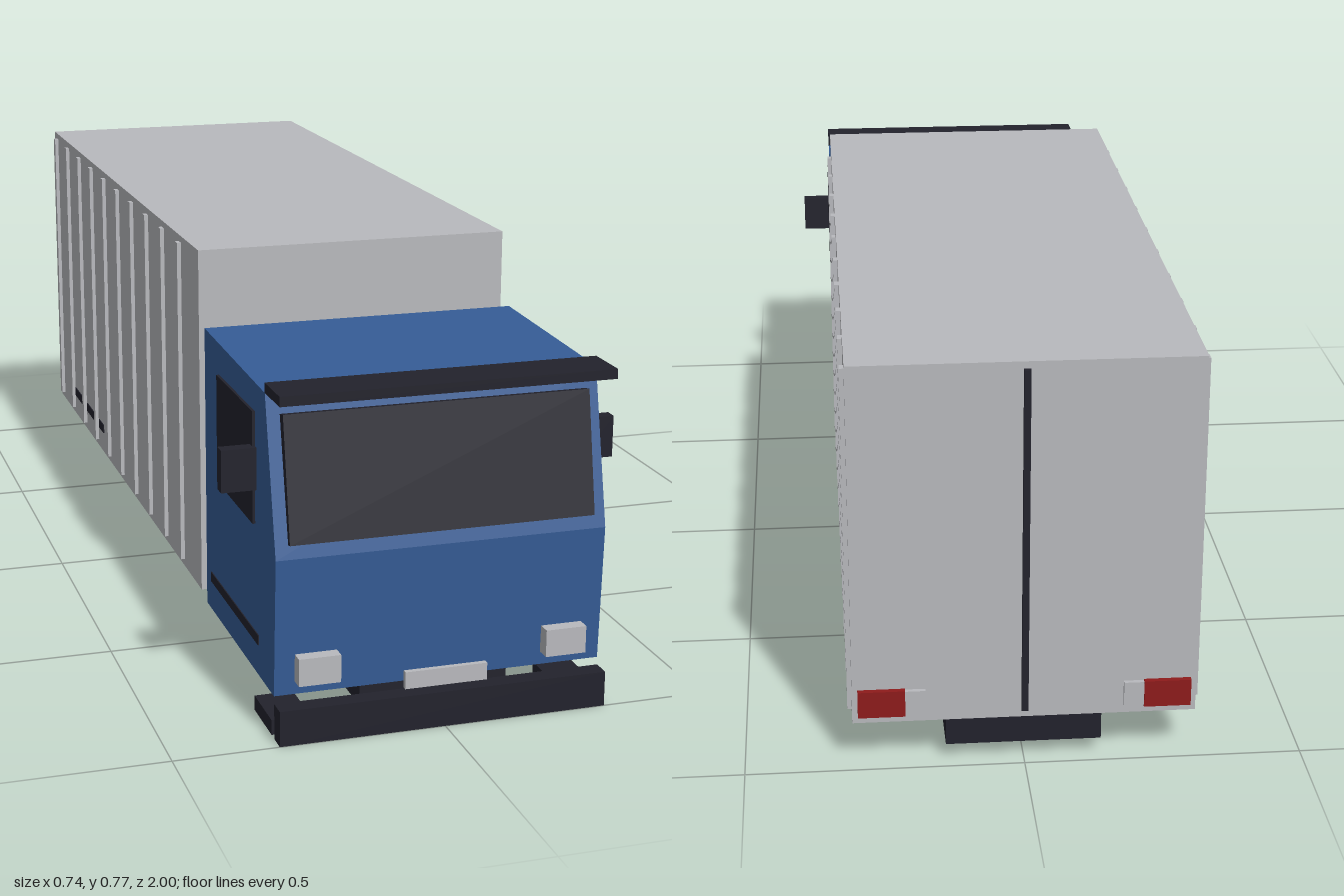
import * as THREE from 'three';

const mat = (name, color) => {
  const m = new THREE.MeshStandardMaterial({ color });
  m.name = name;
  return m;
};

export function createModel() {
  const truck = new THREE.Group();
  truck.name = 'boxTruck';
  const blue = mat('cabBlue', 0x355c95);
  const grey = mat('bodyGrey', 0xb8b9bd);
  const dark = mat('trimBlack', 0x22222c);
  const red = mat('lampRed', 0x8e1b1b);

  // Box given by its min and max on each axis
  const box = (name, m, [x0, x1], [y0, y1], [z0, z1]) => {
    const mesh = new THREE.Mesh(new THREE.BoxGeometry(x1 - x0, y1 - y0, z1 - z0), m);
    mesh.position.set((x0 + x1) / 2, (y0 + y1) / 2, (z0 + z1) / 2);
    mesh.name = name;
    truck.add(mesh);
    return mesh;
  };
  // The same box on both sides, x measured outwards
  const pair = (name, m, [x0, x1], y, z) => {
    box(name + 'Left', m, [x0, x1], y, z);
    box(name + 'Right', m, [-x1, -x0], y, z);
  };

  const W = 0.307;

  // Chassis and cargo box
  box('chassis', dark, [-0.14, 0.14], [0.03, 0.09], [-0.975, 0.935]);
  box('cargoBox', grey, [-W, W], [0.09, 0.77], [-0.99, 0.457]);
  for (let i = 0; i < 10; i++) {
    const z = -0.957 + i * 0.141;
    pair('rib' + i, grey, [W - 0.005, 0.315], [0.105, 0.757], [z - 0.009, z + 0.009]);
  }

  // Side markings
  for (const z of [[-0.8, -0.685], [-0.655, -0.54], [-0.515, -0.463]]) {
    pair('sideDash', dark, [W - 0.003, W + 0.002], [0.138, 0.158], z);
  }

  // Rear door seam and lamps
  box('doorSeam', dark, [-0.006, 0.006], [0.105, 0.757], [-0.998, -0.988]);
  pair('tailLamp', red, [0.213, 0.297], [0.105, 0.156], [-1, -0.988]);
  pair('reverseLamp', grey, [0.177, 0.213], [0.108, 0.154], [-0.998, -0.988]);

  // Cab: side profile (z, y) extruded across the width
  const profile = [[0.5, 0.08], [0.963, 0.08], [0.975, 0.335], [0.91, 0.617], [0.5, 0.63]];
  const shape = new THREE.Shape(profile.map(([z, y]) => new THREE.Vector2(-z, y)));
  const cabGeo = new THREE.ExtrudeGeometry(shape, { depth: 2 * W, bevelEnabled: false });
  cabGeo.translate(0, 0, -W).rotateY(Math.PI / 2);
  const cab = new THREE.Mesh(cabGeo, blue);
  cab.name = 'cab';
  truck.add(cab);

  // Windscreen leaning back, sun visor
  const screen = box('windscreen', dark, [-0.283, 0.283], [0.358, 0.584], [0.939, 0.959]);
  screen.rotation.x = -0.19;
  box('sunVisor', dark, [-W, W], [0.617, 0.635], [0.908, 1]);

  // Side windows, mirrors and door stripes
  pair('sideWindow', dark, [W - 0.004, W + 0.005], [0.36, 0.567], [0.603, 0.847]);
  pair('mirror', dark, [W, 0.371], [0.425, 0.503], [0.832, 0.856]);
  pair('doorStripe', dark, [W - 0.004, W + 0.002], [0.138, 0.157], [0.537, 0.868]);

  // Front bumper, steps, headlights and plate
  box('bumper', dark, [-W, W], [0, 0.066], [0.965, 1]);
  pair('step', dark, [0.235, W], [0, 0.028], [0.838, 0.948]);
  pair('headlight', grey, [0.193, 0.27], [0.105, 0.156], [0.955, 0.992]);
  box('frontPlate', grey, [-0.077, 0.077], [0.08, 0.112], [0.99, 1]);

  return truck;
}
